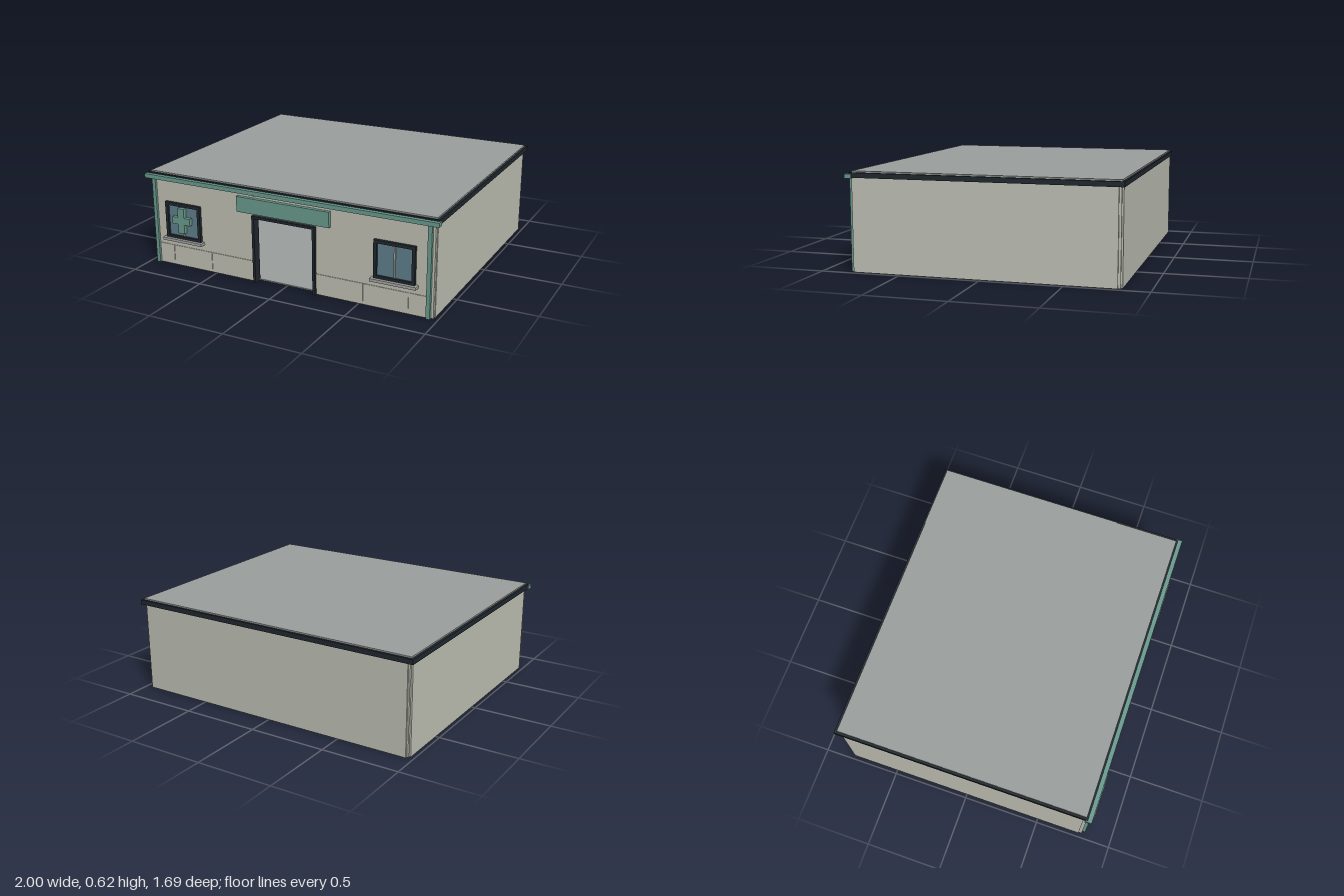
import * as THREE from 'three';

const mat = (color, side = THREE.FrontSide) => new THREE.MeshStandardMaterial({ color, side, roughness: 0.9 });

export function createModel() {
  const model = new THREE.Group();
  const wall = mat(0xc0c1b5), teal = mat(0x6a9c8f), dark = mat(0x20282e);
  const glass = mat(0x5f7f8b), roofGrey = mat(0x9b9f9d), stone = mat(0xa3a6a2);

  // Box given by its limits on each axis
  function box(name, x0, x1, y0, y1, z0, z1, material, parent = model) {
    const mesh = new THREE.Mesh(new THREE.BoxGeometry(x1 - x0, y1 - y0, z1 - z0), material);
    mesh.position.set((x0 + x1) / 2, (y0 + y1) / 2, (z0 + z1) / 2);
    mesh.name = name;
    parent.add(mesh);
    return mesh;
  }

  // Same box on both sides of the building
  function pair(name, x0, x1, y0, y1, z0, z1, material) {
    box(name + 'Left', x0, x1, y0, y1, z0, z1, material);
    box(name + 'Right', -x1, -x0, y0, y1, z0, z1, material);
  }

  // Shell: open interior, reached through the doorway
  box('floor', -0.95, 0.95, 0.002, 0.01, -0.81, 0.785, roofGrey);
  box('backWall', -0.955, 0.955, 0, 0.58, -0.835, -0.805, wall);
  pair('sideWall', 0.945, 0.975, 0, 0.58, -0.81, 0.785, wall);
  pair('backCornerPost', 0.945, 0.965, 0, 0.58, -0.825, -0.805, wall);
  pair('frontCornerPost', 0.93, 0.97, 0, 0.58, 0.78, 0.805, wall);
  pair('frontWall', 0.21, 0.94, 0, 0.58, 0.78, 0.81, wall);
  box('wallOverDoor', -0.21, 0.21, 0.43, 0.58, 0.78, 0.808, wall);

  // Plinth slabs with narrow joints
  const joints = [0.218, 0.53, 0.82, 0.93];
  for (let i = 0; i < 3; i++) {
    pair('plinthPanel' + i, joints[i], joints[i + 1] - 0.003, 0.02, 0.135, 0.8, 0.814, wall);
  }

  // Pilasters and roof
  pair('pilaster', 0.93, 0.955, 0, 0.58, 0.785, 0.825, teal);
  box('roofTrim', -0.992, 0.992, 0.575, 0.606, -0.845, 0.812, dark);
  box('roof', -0.976, 0.976, 0.59, 0.615, -0.83, 0.8, roofGrey);
  box('fascia', -1, 1, 0.571, 0.598, 0.795, 0.838, teal);

  // Door frame
  pair('doorJamb', 0.2, 0.217, 0, 0.437, 0.775, 0.83, dark);
  box('doorLintel', -0.2, 0.2, 0.421, 0.437, 0.775, 0.83, dark);

  // Blank sign board
  box('signBoard', -0.32, 0.315, 0.45, 0.548, 0.8, 0.832, teal);

  // Windows: mitre-free frame with opening, pane, mullion and sill
  function addWindow(name, cx) {
    const g = new THREE.Group();
    g.name = name;
    g.position.set(cx, 0.31, 0);
    const w = 0.13, h = 0.12, t = 0.02;
    for (const s of [-1, 1]) {
      const stile = box('frameStile', -t / 2, t / 2, -h, h, 0.8, 0.83, dark, g);
      stile.position.x = s * (w - t / 2);
      const rail = box('frameRail', t - w, w - t, -t / 2, t / 2, 0.8, 0.83, dark, g);
      rail.position.y = s * (h - t / 2);
    }
    box('pane', t - w, w - t, t - h, h - t, 0.8, 0.815, glass, g);
    box('mullion', -0.005, 0.005, t - h, h - t, 0.81, 0.822, stone, g);
    box('sill', -0.146, 0.146, -0.135, -0.117, 0.8, 0.85, stone, g);
    model.add(g);
  }
  addWindow('windowRight', -0.73);
  addWindow('windowLeft', 0.73);

  // Cross mounted on the right-hand window
  const a = 0.023, px = 0.066, py = 0.083;
  const outline = [[-a, -py], [a, -py], [a, -a], [px, -a], [px, a], [a, a],
    [a, py], [-a, py], [-a, a], [-px, a], [-px, -a], [-a, -a]];
  const shape = new THREE.Shape(outline.map(([x, y]) => new THREE.Vector2(x, y)));
  const cross = new THREE.Mesh(new THREE.ExtrudeGeometry(shape, { depth: 0.026, bevelEnabled: false }), teal);
  cross.name = 'windowCross';
  cross.position.set(-0.73, 0.322, 0.822);
  model.add(cross);

  return model;
}
